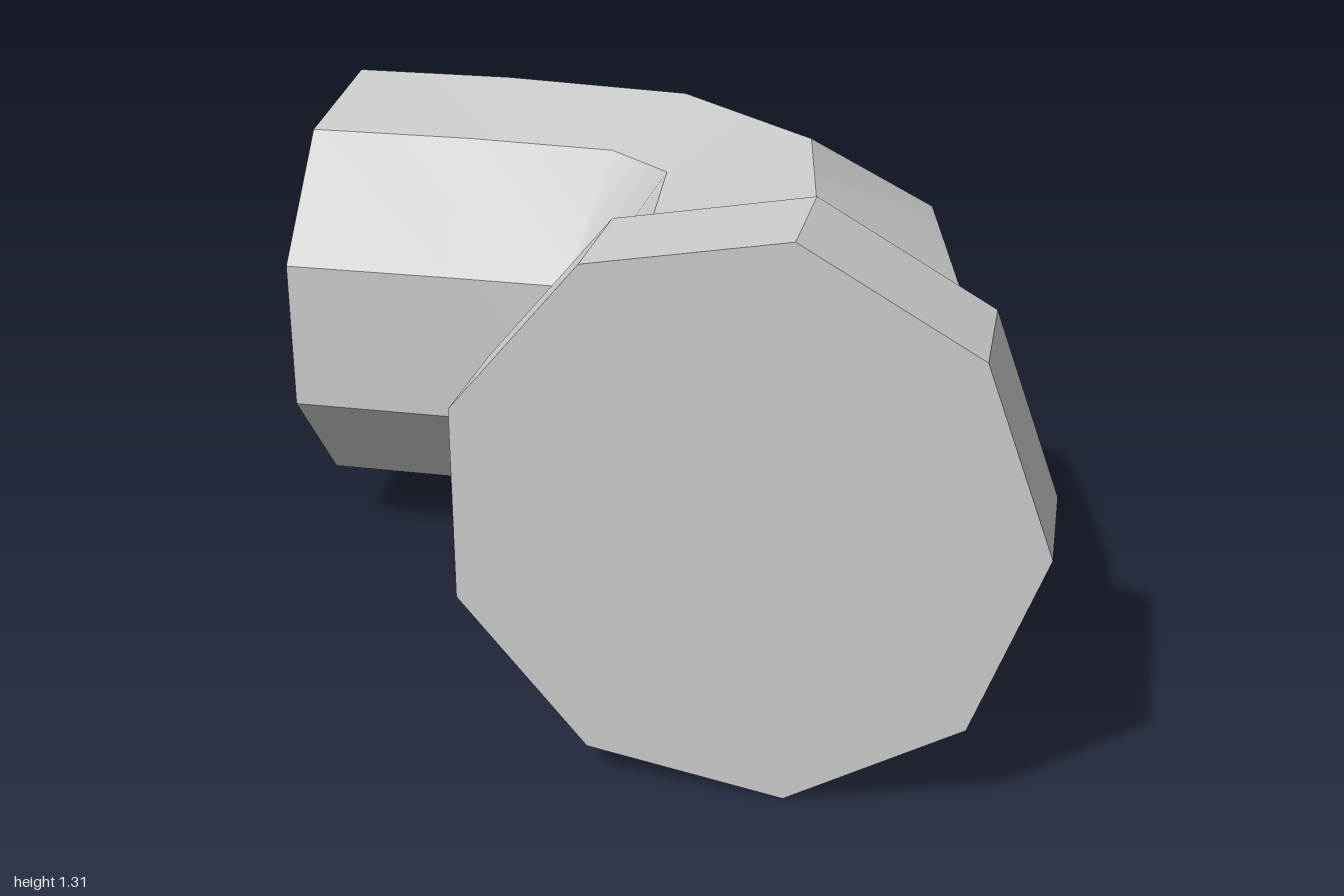
import * as THREE from 'three';

const SIDES = 9;
const PIPE_RADIUS = 0.567;
const PIPE_Y = 0.661;

// Bend stations: outermost point (x, z), direction to the inside of the bend, in-plane scale
const STATIONS = [
  { x: -1.0, z: -0.98, dx: 0, dz: 1, s: 1 },
  { x: -0.57, z: -0.98, dx: 0, dz: 1, s: 1 },
  { x: 0.09, z: -0.86, dx: -0.335, dz: 0.942, s: 0.95 },
  { x: 0.75, z: -0.24, dx: -0.93, dz: 0.367, s: 0.955 },
  { x: 0.89, z: 0.45, dx: -1, dz: 0, s: 1 },
  { x: 0.89, z: 0.68, dx: -1, dz: 0, s: 1 },
];

function ringPoint(st, j) {
  const t = (j / SIDES) * Math.PI * 2;
  const inward = PIPE_RADIUS * st.s * (1 - Math.cos(t));
  return [st.x + st.dx * inward, PIPE_Y + PIPE_RADIUS * Math.sin(t), st.z + st.dz * inward];
}

// Each side is its own strip: smooth along the bend, sharp between sides
function pipeGeometry() {
  const positions = [];
  const index = [];
  for (let j = 0; j < SIDES; j++) {
    const base = positions.length / 3;
    STATIONS.forEach((st, i) => {
      positions.push(...ringPoint(st, j), ...ringPoint(st, j + 1));
      if (i === 0) return;
      const a = base + (i - 1) * 2;
      index.push(a, a + 1, a + 3, a, a + 3, a + 2);
    });
  }
  // Flat cap on the open end
  const cap = positions.length / 3;
  for (let j = 0; j < SIDES; j++) positions.push(...ringPoint(STATIONS[0], j));
  for (let j = 1; j < SIDES - 1; j++) index.push(cap, cap + j + 1, cap + j);

  const geometry = new THREE.BufferGeometry();
  geometry.setAttribute('position', new THREE.Float32BufferAttribute(positions, 3));
  geometry.setIndex(index);
  geometry.computeVertexNormals();
  return geometry;
}

export function createModel() {
  const group = new THREE.Group();
  group.name = 'pipeElbow';

  // Curved pipe
  const pipe = new THREE.Mesh(pipeGeometry(), new THREE.MeshStandardMaterial({ color: 0xcccccc }));
  pipe.name = 'elbowPipe';
  group.add(pipe);

  // Wide rim on the front mouth, one corner pointing to +x
  const rimGeometry = new THREE.CylinderGeometry(0.665, 0.665, 0.305, SIDES, 1, false, Math.PI / 2);
  rimGeometry.rotateX(Math.PI / 2);
  const rim = new THREE.Mesh(
    rimGeometry,
    new THREE.MeshStandardMaterial({ color: 0xcccccc, flatShading: true })
  );
  rim.name = 'frontRim';
  rim.position.set(0.335, 0.656, 0.8275);
  group.add(rim);

  return group;
}
